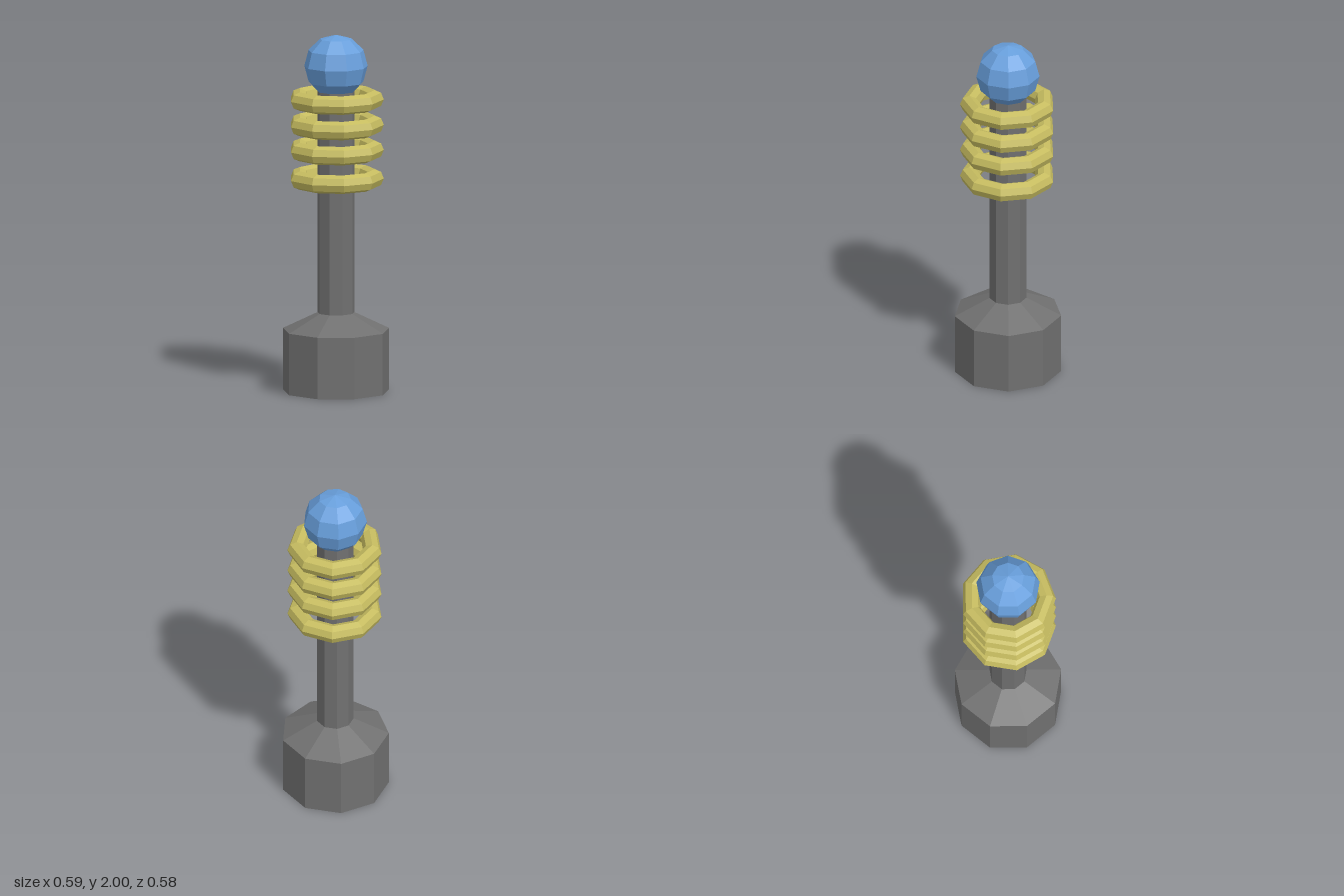
import * as THREE from 'three';

const SIDES = 9;

export function createModel() {
  const model = new THREE.Group();
  const paint = (color) => new THREE.MeshStandardMaterial({ color, flatShading: true });
  const grey = paint(0x707070), yellow = paint(0xc6bc60), blue = paint(0x689fdc);

  const add = (name, geometry, material, y) => {
    const mesh = new THREE.Mesh(geometry, material);
    mesh.name = name;
    mesh.position.set(0, y, 0.0085); // nine sides: the axis sits just off the box centre
    model.add(mesh);
    return mesh;
  };

  // Base block with a sloped shoulder, and the shaft: one corner points to the back
  const profile = [[0, 0], [0.299, 0], [0.299, 0.345], [0.104, 0.44], [0.104, 1.72], [0, 1.72]]
    .map(([r, y]) => new THREE.Vector2(r, y));
  add('baseAndShaft', new THREE.LatheGeometry(profile, SIDES, Math.PI), grey, 0);

  // Four loose rings around the upper shaft
  const ringGeometry = new THREE.TorusGeometry(0.213, 0.052, 8, SIDES).rotateX(Math.PI / 2);
  [1.193, 1.353, 1.494, 1.637].forEach((y, i) => add(`ring${i + 1}`, ringGeometry, yellow, y));

  // Ball on top
  const ballRadius = 0.178;
  add('ball', new THREE.SphereGeometry(ballRadius, SIDES, 6).rotateY(-Math.PI / 2), blue, 2 - ballRadius);

  return model;
}
